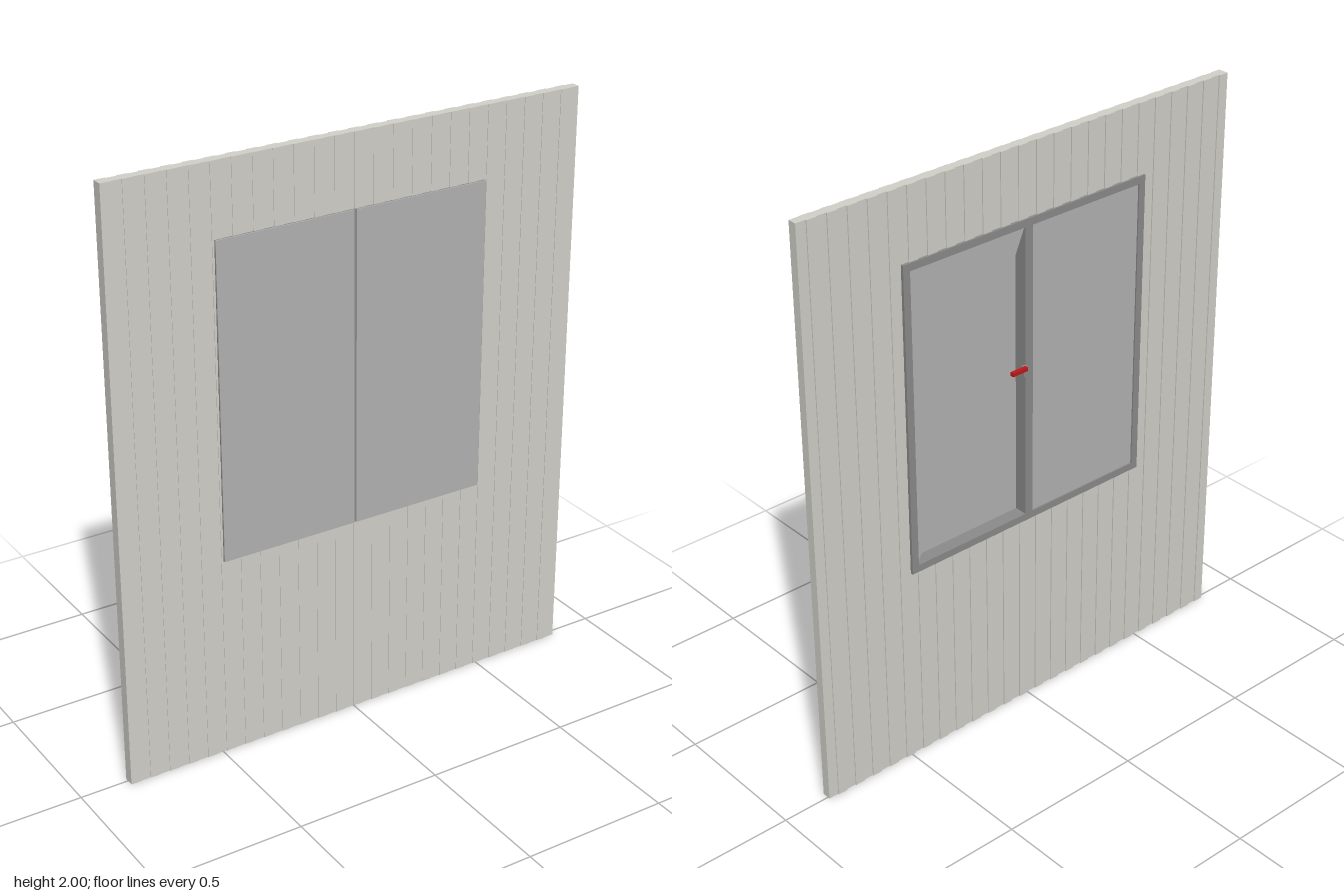
import * as THREE from 'three';

const wallMat = new THREE.MeshStandardMaterial({ color: 0xd3d2cb });
const sashMat = new THREE.MeshStandardMaterial({ color: 0xb4b4b4 });
const frameMat = new THREE.MeshStandardMaterial({ color: 0x8c8c8c });
const redMat = new THREE.MeshStandardMaterial({ color: 0xc01818 });

const HALF = 1.67 / 48; // half the pitch of the cladding boards

export function createModel() {
  const model = new THREE.Group();

  const add = (parent, name, geometry, material) => {
    const mesh = new THREE.Mesh(geometry, material);
    mesh.name = name;
    parent.add(mesh);
    return mesh;
  };

  // Box given by its limits on each axis
  const block = (parent, name, [x0, x1], [y0, y1], [z0, z1], material) => {
    const mesh = add(parent, name, new THREE.BoxGeometry(x1 - x0, y1 - y0, z1 - z0), material);
    mesh.position.set((x0 + x1) / 2, (y0 + y1) / 2, (z0 + z1) / 2);
    return mesh;
  };

  // Grooved cladding between board edges k0 and k1, extruded from y0 to y1
  const wall = new THREE.Group();
  wall.name = 'wall';
  model.add(wall);
  const cladding = (name, k0, k1, y0, y1) => {
    const front = [], back = [];
    for (let k = k0; k < k1; k++) {
      const raised = Math.abs(k) % 2 === 0;
      for (const x of [k * HALF, (k + 1) * HALF]) {
        front.push(new THREE.Vector2(x, raised ? -0.024 : -0.022));
        back.push(new THREE.Vector2(x, raised ? 0.012 : 0.008));
      }
    }
    const shape = new THREE.Shape([...front, ...back.reverse()]);
    const geometry = new THREE.ExtrudeGeometry(shape, { depth: y1 - y0, bevelEnabled: false });
    geometry.rotateX(-Math.PI / 2).translate(0, y0, 0);
    add(wall, name, geometry, wallMat);
  };
  cladding('rightCladding', -24, -13, 0, 2);
  cladding('leftCladding', 13, 24, 0, 2);
  cladding('lowerCladding', -13, 13, 0, 0.72);
  cladding('upperCladding', -13, 13, 1.74, 2);

  // Window frame round the opening, with the centre post
  const win = new THREE.Group();
  win.name = 'window';
  model.add(win);
  const outline = new THREE.Shape().moveTo(-0.48, 0.7).lineTo(0.48, 0.7).lineTo(0.48, 1.76).lineTo(-0.48, 1.76);
  for (const [x0, x1] of [[-0.455, -0.015], [0.015, 0.455]]) {
    outline.holes.push(new THREE.Path().moveTo(x0, 0.725).lineTo(x0, 1.735).lineTo(x1, 1.735).lineTo(x1, 0.725));
  }
  const frame = new THREE.ExtrudeGeometry(outline, { depth: 0.046, bevelEnabled: false });
  add(win, 'windowFrame', frame.translate(0, 0, -0.018), frameMat);

  // Front sashes with a narrow gap at the centre
  for (const side of [-1, 1]) {
    const xs = [side * 0.004, side * 0.48].sort((a, b) => a - b);
    block(win, side < 0 ? 'rightFrontSash' : 'leftFrontSash', xs, [0.7, 1.76], [0.028, 0.032], sashMat);
  }

  // Back panes: the right one is whole, the left one covers the upper outer half
  block(win, 'rightBackPane', [-0.455, -0.015], [0.725, 1.735], [-0.013, -0.009], sashMat);
  const half = new THREE.Shape().moveTo(0.455, 0.725).lineTo(0.455, 1.735).lineTo(0.015, 1.735);
  const pane = new THREE.ExtrudeGeometry(half, { depth: 0.004, bevelEnabled: false });
  add(win, 'leftBackPane', pane.translate(0, 0, -0.013), sashMat);

  // Handle on the back of the centre post
  const handle = new THREE.Group();
  handle.name = 'handle';
  model.add(handle);
  block(handle, 'handleLever', [0.02, 0.08], [1.257, 1.27], [-0.035, -0.022], redMat);
  block(handle, 'handleStem', [0.012, 0.028], [1.235, 1.268], [-0.026, -0.012], frameMat);

  return model;
}
